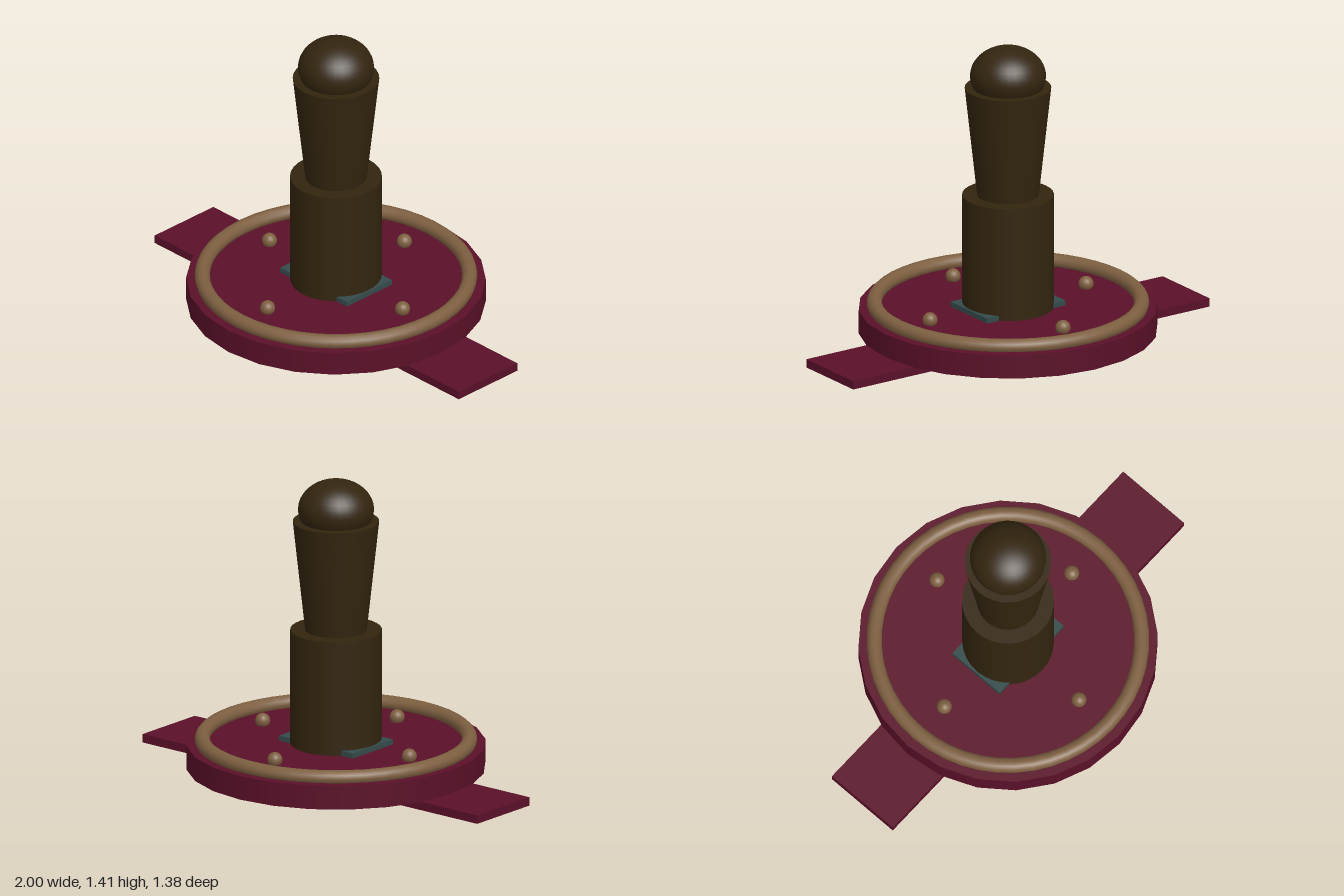
import * as THREE from 'three';

const paint = (name, color) => {
  const m = new THREE.MeshStandardMaterial({ color });
  m.name = name;
  return m;
};

export function createModel() {
  const model = new THREE.Group();
  model.name = 'strappedDiscWithHandle';

  const wine = paint('wine red', 0x5a1028);
  const tan = paint('tan', 0x7d5f40);
  const brown = paint('dark brown', 0x33250f);
  const slate = paint('slate teal', 0x344a4a);

  const add = (name, geometry, material, x, y, z) => {
    const mesh = new THREE.Mesh(geometry, material);
    mesh.name = name;
    mesh.position.set(x, y, z);
    model.add(mesh);
    return mesh;
  };

  // Flat strap running under the disc
  add('strap', new THREE.BoxGeometry(2, 0.04, 0.375), wine, 0, 0.02, 0);

  // Disc with its raised rim
  add('disc', new THREE.CylinderGeometry(0.688, 0.688, 0.113, 24), wine, 0, 0.0945, 0);
  const rim = add('rim', new THREE.TorusGeometry(0.614, 0.035, 12, 48), tan, 0, 0.17, 0);
  rim.rotation.x = Math.PI / 2;

  // Four studs around the face
  const studGeometry = new THREE.SphereGeometry(0.035, 16, 12);
  for (let i = 0; i < 4; i++) {
    const a = (i * Math.PI) / 2;
    add('stud', studGeometry, tan, 0.438 * Math.cos(a), 0.172, 0.438 * Math.sin(a));
  }

  // Mounting plate under the collar
  add('mountingPlate', new THREE.BoxGeometry(0.44, 0.04, 0.29), slate, 0, 0.155, 0);

  // Collar, flared grip and domed knob
  add('collar', new THREE.CylinderGeometry(0.211, 0.211, 0.545, 32), brown, 0, 0.4225, 0);
  add('grip', new THREE.CylinderGeometry(0.199, 0.14, 0.54, 32), brown, 0, 0.945, 0);
  const knob = add('knob', new THREE.SphereGeometry(0.175, 32, 20), brown, 0, 1.27, 0);
  knob.scale.y = 0.8;

  return model;
}
